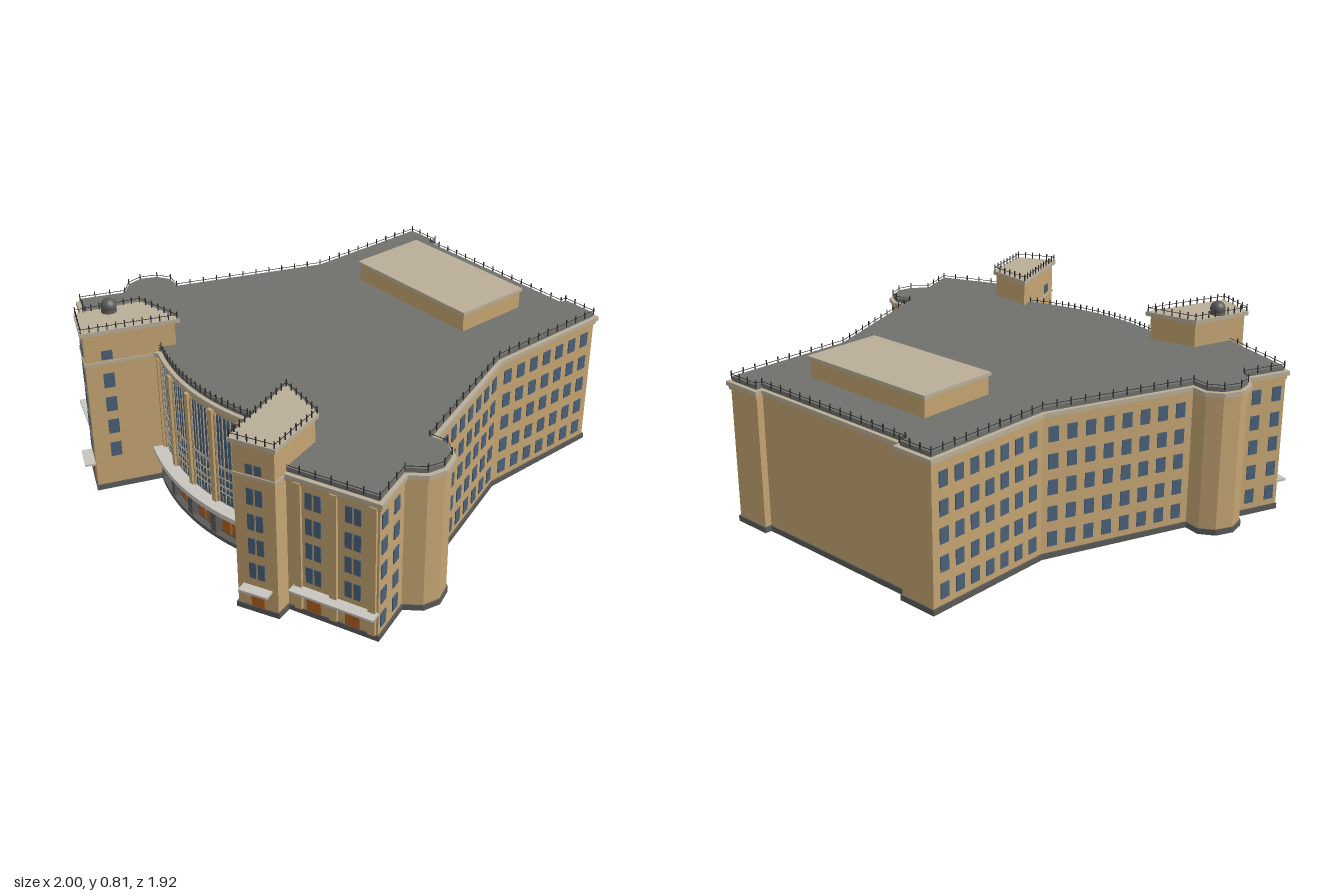
import * as THREE from 'three';
import { mergeGeometries } from 'three/addons/utils/BufferGeometryUtils.js';

const mat = (name, color) => Object.assign(new THREE.MeshStandardMaterial({ color }), { name });
const M = {
  wall: mat('tan stone', 0xc4a472), trim: mat('pale stone', 0xb9ae98), roof: mat('roof grey', 0x70706c),
  plinth: mat('dark granite', 0x5a5a58), glass: mat('window blue', 0x4a6078), door: mat('door orange', 0xb0601f),
  canopy: mat('light concrete', 0xc8c5be), rail: mat('rail black', 0x303030), pier: mat('shaded stone', 0xa88a5c),
};

export function createModel() {
  const root = new THREE.Group();
  root.name = 'building';
  const parts = new Map();
  const add = (name, material, geo) => {
    if (!parts.has(name)) parts.set(name, { material, list: [] });
    parts.get(name).list.push(geo.index ? geo.toNonIndexed() : geo);
  };

  // Upright prism over a plan polygon of [x, z] points
  const prism = (name, m, poly, y0, y1) => {
    const shape = new THREE.Shape(poly.map(([x, z]) => new THREE.Vector2(x, -z)));
    const g = new THREE.ExtrudeGeometry(shape, { depth: y1 - y0, bevelEnabled: false });
    add(name, m, g.rotateX(-Math.PI / 2).translate(0, y0, 0));
  };
  const mirror = poly => poly.map(([x, z]) => [-x, z]).reverse();

  // Mitred outward offset of a plan polygon
  const offset = (poly, d) => poly.map((p, i) => {
    const n = poly.length, a = poly[(i + n - 1) % n], b = poly[(i + 1) % n];
    const normal = (u, v) => {
      const l = Math.hypot(v[0] - u[0], v[1] - u[1]);
      return [-(v[1] - u[1]) / l, (v[0] - u[0]) / l];
    };
    const n1 = normal(a, p), n2 = normal(p, b), k = d / (1 + n1[0] * n2[0] + n1[1] * n2[1]);
    return [p[0] + (n1[0] + n2[0]) * k, p[1] + (n1[1] + n2[1]) * k];
  });

  // Box set on the wall from a to b: t along it, du sideways, out = centre offset from the wall
  const onWall = (name, m, [a, b], t, du, y0, y1, w, depth, out = 0) => {
    const dx = b[0] - a[0], dz = b[1] - a[1], l = Math.hypot(dx, dz);
    const g = new THREE.BoxGeometry(w, y1 - y0, depth).rotateY(Math.atan2(-dz, dx));
    add(name, m, g.translate(a[0] + dx * t + (dx * du - dz * out) / l, (y0 + y1) / 2,
      a[1] + dz * t + (dz * du + dx * out) / l));
  };

  // Thin railing around a plan polygon
  const railing = (name, poly, y, height, spacing) => poly.forEach((a, i) => {
    const b = poly[(i + 1) % poly.length], l = Math.hypot(b[0] - a[0], b[1] - a[1]);
    const n = Math.max(1, Math.round(l / spacing));
    for (let k = 0; k < n; k++) onWall(name, M.rail, [a, b], k / n, 0, y, y + height, 0.004, 0.004);
    onWall(name, M.rail, [a, b], 0.5, 0, y + height * 0.55, y + height * 0.55 + 0.002, l, 0.002);
  });

  // Curved front, centred on x = 0
  const CZ = -0.295, R = 1.01, A = 0.385;
  const arcPoint = (ang, r) => [Math.sin(ang) * r, CZ + Math.cos(ang) * r];
  const arc = (a0, a1, r, n = 24) => Array.from({ length: n + 1 }, (_, i) => arcPoint(a0 + (a1 - a0) * i / n, r));
  const band = (name, m, a0, a1, r0, r1, y0, y1, n) =>
    prism(name, m, [...arc(a0, a1, r1, n), ...arc(a1, a0, r0, n)], y0, y1);

  // Main block plan: curved front, angled wings, faceted side bays, rear corner piers
  const wing = [[0.62, 0.797], [0.982, 0.662]];
  const wingEnd = [wing[1], [0.908, 0.478]];
  const slant = [[0.812, 0.262], [0.568, -0.36]];
  const side = [slant[1], [0.568, -0.945]];
  const half = [...arc(0, A, R, 12), ...wing, wingEnd[1], [0.965, 0.42], [0.978, 0.35], [0.945, 0.28],
    [0.885, 0.245], ...slant, side[1], [0.405, -0.945], [0.405, -0.915]];
  const plan = [...half, ...mirror(half.slice(1))];
  prism('walls', M.wall, plan, 0.02, 0.6);
  prism('plinth', M.plinth, offset(plan, 0.006), 0, 0.024);
  prism('cornice', M.trim, offset(plan, 0.014), 0.598, 0.616);
  prism('corniceMoulding', M.wall, offset(plan, 0.007), 0.582, 0.598);
  prism('roof', M.roof, offset(plan, -0.004), 0.616, 0.635);
  railing('roofRailing', offset(plan, -0.003), 0.625, 0.033, 0.06);

  // Rooftop penthouse
  const rect = (x, z0, z1) => [[-x, z1], [x, z1], [x, z0], [-x, z0]];
  prism('penthouse', M.wall, rect(0.322, -0.735, -0.395), 0.63, 0.712);
  prism('penthouseRoof', M.trim, rect(0.33, -0.742, -0.388), 0.712, 0.726);

  // Corner towers
  const rows = [0.19, 0.302, 0.41, 0.522];
  const tower = offset([[0.49, 0.943], [0.665, 0.865], [0.58, 0.598], [0.345, 0.56]], -0.012);
  for (const s of [1, -1]) {
    const flip = p => (s > 0 ? p : mirror(p));
    const put = (name, m, wall, t, du, ...rest) =>
      onWall(name, m, flip(wall), s > 0 ? t : 1 - t, du * s, ...rest);
    const tp = flip(tower);
    prism('towerWalls', M.wall, tp, 0.02, 0.738);
    prism('towerPlinth', M.plinth, offset(tp, 0.006), 0, 0.024);
    prism('towerCornice', M.trim, offset(tp, 0.012), 0.738, 0.756);
    prism('towerBand', M.trim, offset(tp, 0.004), 0.6, 0.612);
    railing('towerRailing', offset(tp, 0.006), 0.756, 0.03, 0.035);

    // Paired windows
    const pair = (wall, t, y, h) => [-1, 1].forEach(k =>
      put('frontWindows', M.glass, wall, t, k * 0.018, y - h / 2, y + h / 2, 0.028, 0.008));

    // Tower front and inner faces
    const front = [tower[0], tower[1]], inner = [tower[3], tower[0]];
    for (const y of rows) {
      pair(front, 0.5, y, 0.07);
      put('towerSideWindows', M.glass, inner, 0.76, 0, y - 0.033, y + 0.033, 0.045, 0.008);
    }
    pair(front, 0.5, 0.64, 0.04);
    put('towerSideWindows', M.glass, inner, 0.76, 0, 0.62, 0.66, 0.045, 0.008);
    put('doors', M.door, front, 0.5, 0, 0.024, 0.098, 0.054, 0.008);
    put('towerCanopy', M.canopy, front, 0.5, 0, 0.108, 0.118, 0.12, 0.045, 0.022);

    // Wing front
    for (const t of [0.31, 0.73]) {
      for (const y of rows) pair(wing, t, y, 0.07);
      put('doors', M.door, wing, t, 0, 0.024, 0.102, 0.06, 0.008);
    }
    for (const t of [0.15, 0.53, 0.94]) put('wingPilasters', M.wall, wing, t, 0, 0.024, 0.59, 0.03, 0.024);
    put('wingCanopy', M.canopy, wing, 0.55, 0, 0.118, 0.128, 0.35, 0.048, 0.024);

    // Square windows along the sides
    const square = (wall, z) => [0.082, ...rows].forEach(y => put('sideWindows', M.glass, wall,
      (z - wall[0][1]) / (wall[1][1] - wall[0][1]), 0, y - 0.031, y + 0.031, 0.042, 0.008));
    [0.628, 0.537].forEach(z => square(wingEnd, z));
    for (let i = 0; i < 8; i++) square(slant, 0.21 - i * 0.0753);
    for (let i = 0; i < 7; i++) square(side, -0.414 - i * 0.079);
  }

  // Small dome on the right tower
  add('dome', M.plinth, new THREE.SphereGeometry(0.033, 20, 14).translate(-0.59, 0.78, 0.742));
  add('dome', M.plinth, new THREE.CylinderGeometry(0.03, 0.033, 0.025, 20).translate(-0.59, 0.767, 0.742));

  // Curved glazed front: five bays with mullions, doors and piers
  const upright = (name, m, ang, y0, y1, w, depth, out) => {
    const [x, z] = arcPoint(ang, R + out);
    add(name, m, new THREE.BoxGeometry(w, y1 - y0, depth).rotateY(ang).translate(x, (y0 + y1) / 2, z));
  };
  const bay = 0.154;
  for (let i = -2; i <= 2; i++) {
    const c = i * bay, hw = 0.059;
    band('frontGlazing', M.glass, c - hw, c + hw, R - 0.004, R + 0.004, 0.165, 0.57, 4);
    for (const k of [-1, -0.36, 0.36, 1]) upright('mullions', M.trim, c + k * hw, 0.165, 0.57, 0.005, 0.006, 0.004);
    for (const k of [-0.68, 0, 0.68]) upright('thinMullions', M.trim, c + k * hw, 0.165, 0.57, 0.002, 0.004, 0.004);
    for (const [y, h] of [[0.215, 0.004], [0.245, 0.008], [0.285, 0.004], [0.335, 0.012]])
      band('transoms', M.trim, c - hw, c + hw, R, R + 0.007, y - h / 2, y + h / 2, 4);
    for (const k of [-0.5, 0.5]) upright('frontDoors', M.door, c + k * hw, 0.024, 0.102, 0.048, 0.008, 0.002);
  }
  for (let i = 0; i < 6; i++) {
    const ang = (i - 2.5) * bay;
    upright('frontPiers', M.wall, ang, 0.15, 0.59, 0.024, 0.03, 0.006);
    upright('frontPierFlanks', M.pier, ang, 0.15, 0.575, 0.034, 0.016, 0.003);
    upright('lowerPiers', M.plinth, ang, 0.02, 0.145, 0.034, 0.04, 0.012);
  }
  band('entranceWall', M.pier, -A, A, R - 0.005, R + 0.002, 0.024, 0.145, 24);
  band('entranceSteps', M.plinth, -A, A, R - 0.02, R + 0.035, 0, 0.018, 24);
  band('entranceCanopy', M.canopy, -0.39, 0.39, R - 0.01, R + 0.062, 0.142, 0.164, 24);

  for (const [name, { material, list }] of parts) {
    const mesh = new THREE.Mesh(mergeGeometries(list), material);
    mesh.name = name;
    root.add(mesh);
  }
  return root;
}
